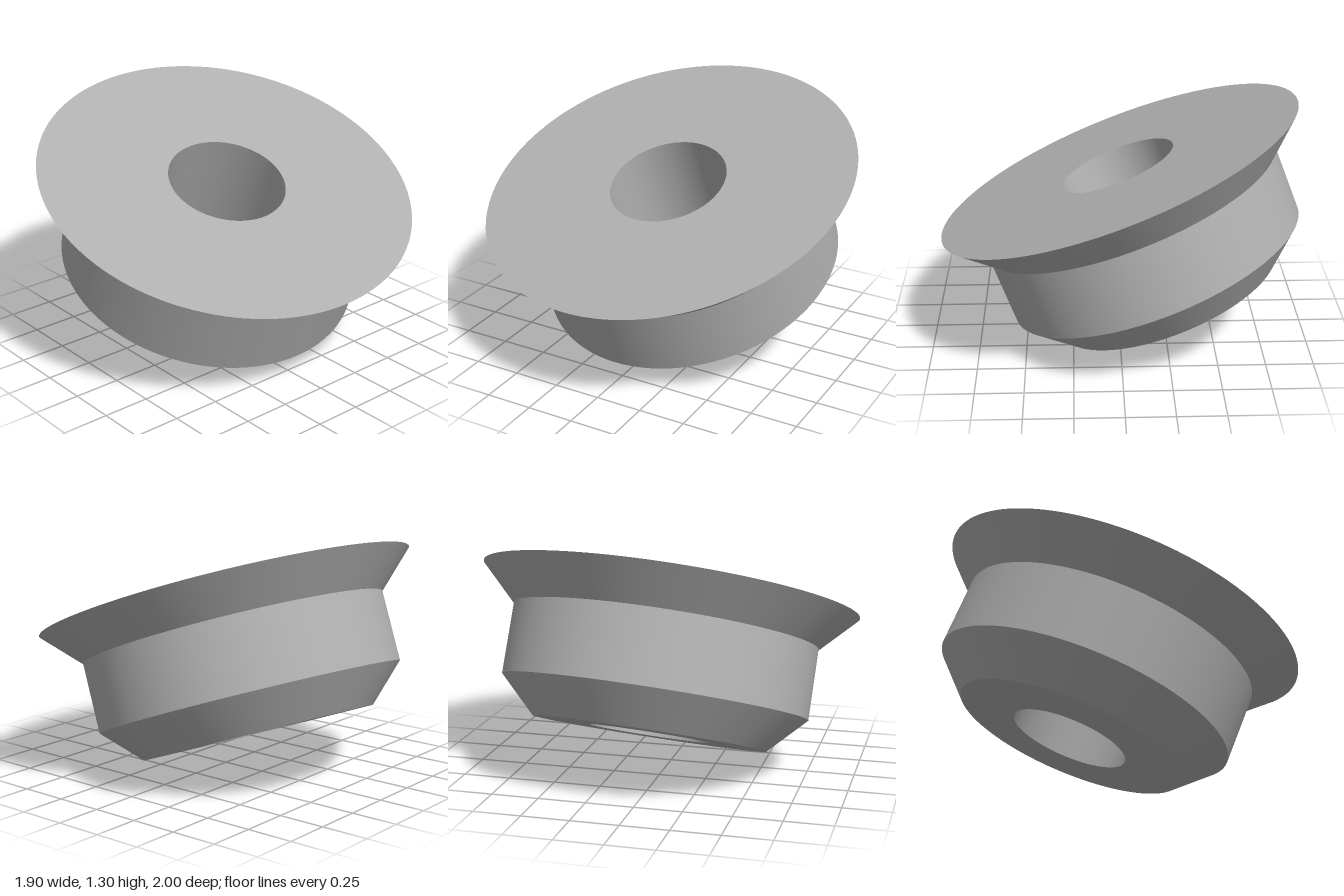
import * as THREE from 'three';

export function createModel() {
  const model = new THREE.Group();
  model.name = 'flangedBushing';
  const grey = new THREE.MeshStandardMaterial({ color: 0xb0b0b0 });
  grey.name = 'plain grey';

  // Bushing stands along its own axis, with the wide top face at y = 0
  const bushing = new THREE.Group();
  bushing.name = 'bushing';

  // Closed profile loop [radius, height]; each step is its own surface, so edges stay sharp
  const profile = [
    ['bottomFace', 0.315, -0.757],
    ['lowerChamfer', 0.62, -0.757],
    ['barrel', 0.812, -0.565],
    ['flaredFlange', 0.812, -0.19],
    ['topFace', 1.002, 0],
    ['bore', 0.315, 0],
  ];
  profile.forEach(([name, r, y], i) => {
    const [, r2, y2] = profile[(i + 1) % profile.length];
    const points = [new THREE.Vector2(r, y), new THREE.Vector2(r2, y2)];
    const mesh = new THREE.Mesh(new THREE.LatheGeometry(points, 128), grey);
    mesh.name = name;
    bushing.add(mesh);
  });

  // Tilt the axis and rest the lower rim on the ground
  const axis = new THREE.Vector3(0.36, 0.931, 0.066).normalize();
  bushing.quaternion.setFromUnitVectors(new THREE.Vector3(0, 1, 0), axis);
  bushing.position.set(0.01, 0.932, 0);
  model.add(bushing);
  return model;
}
